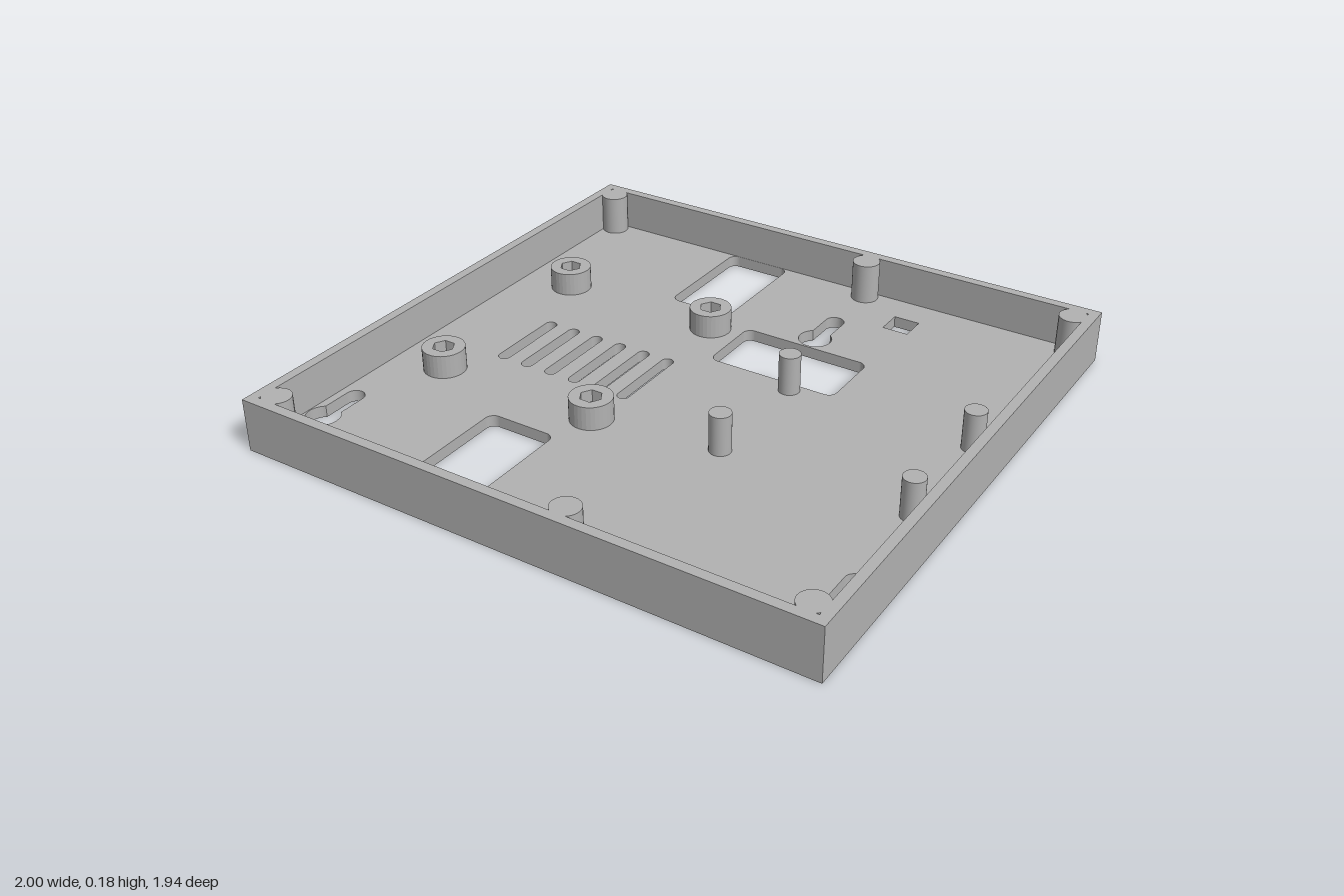
import * as THREE from 'three';

const W = 1, D = 0.97, H = 0.182, FLOOR = 0.04;

// Plan outlines are drawn as (x, z)
function rect(Type, x0, z0, x1, z1, r = 0) {
  const p = new Type();
  if (!r) {
    p.moveTo(x0, z0); p.lineTo(x1, z0); p.lineTo(x1, z1); p.lineTo(x0, z1); p.closePath();
    return p;
  }
  p.moveTo(x0 + r, z0);
  p.absarc(x1 - r, z0 + r, r, -Math.PI / 2, 0, false);
  p.absarc(x1 - r, z1 - r, r, 0, Math.PI / 2, false);
  p.absarc(x0 + r, z1 - r, r, Math.PI / 2, Math.PI, false);
  p.absarc(x0 + r, z0 + r, r, Math.PI, Math.PI * 1.5, false);
  return p;
}

function circle(Type, x, z, r) {
  const p = new Type();
  p.absarc(x, z, r, 0, Math.PI * 2, false);
  return p;
}

function hexagon(r) {
  const pts = [];
  for (let i = 0; i < 6; i++) pts.push(new THREE.Vector2(r * Math.cos(i * Math.PI / 3), r * Math.sin(i * Math.PI / 3)));
  return new THREE.Path(pts);
}

// Round entry with a narrower slot running toward the back
function keyhole(x, z, zEnd) {
  const R = 0.057, r = 0.033, a = Math.acos(r / R);
  const p = new THREE.Path();
  p.absarc(x, z, R, -a, Math.PI + a, false);
  p.absarc(x, zEnd + r, r, Math.PI, Math.PI * 2, false);
  p.closePath();
  return p;
}

// Extrude a plan outline upward between two heights
function slab(shape, y0, y1) {
  const g = new THREE.ExtrudeGeometry(shape, { depth: y1 - y0, bevelEnabled: false, curveSegments: 16 });
  g.rotateX(Math.PI / 2);
  g.translate(0, y1, 0);
  return g;
}

export function createModel() {
  const model = new THREE.Group();
  model.name = 'enclosureBase';
  const grey = new THREE.MeshStandardMaterial({ color: 0xb2b2b2 });
  grey.name = 'greyPlastic';
  const add = (name, geo, x = 0, y = 0, z = 0, parent = model) => {
    const m = new THREE.Mesh(geo, grey);
    m.name = name;
    m.position.set(x, y, z);
    parent.add(m);
    return m;
  };

  const standoffs = [];
  for (const x of [-0.777, -0.182]) for (const z of [-0.4, 0.305]) standoffs.push([x, z]);

  // Floor with all its cut-outs
  const floor = rect(THREE.Shape, -W, -D, W, D);
  floor.holes.push(
    rect(THREE.Path, -0.415, -0.935, -0.178, -0.513, 0.03),
    rect(THREE.Path, -0.07, -0.463, 0.393, -0.217, 0.03),
    rect(THREE.Path, -0.465, 0.452, -0.218, 0.928, 0.03),
    rect(THREE.Path, 0.32, -0.818, 0.412, -0.725),
    keyhole(0.16, -0.528, -0.703),
    keyhole(-0.905, 0.745, 0.568),
    keyhole(0.9, 0.745, 0.568),
  );
  for (let i = 0; i < 6; i++) {
    const x = -0.662 + i * 0.0967;
    floor.holes.push(rect(THREE.Path, x - 0.021, -0.142, x + 0.021, 0.156, 0.0205));
  }
  for (const [x, z] of standoffs) floor.holes.push(circle(THREE.Path, x, z, 0.021));
  add('floor', slab(floor, 0, FLOOR));

  // Perimeter wall
  const wall = rect(THREE.Shape, -W, -D, W, D);
  wall.holes.push(rect(THREE.Path, -0.966, -0.936, 0.966, 0.936));
  add('perimeterWall', slab(wall, FLOOR, H));

  // Posts merged into the wall, flush with the rim
  const postH = H - FLOOR;
  const postGeo = new THREE.CylinderGeometry(0.048, 0.048, postH, 32);
  for (const x of [-0.928, 0.16, 0.928]) {
    for (const z of [-0.897, 0.897]) add('wallPost', postGeo, x, FLOOR + postH / 2, z);
  }

  // Standoffs: round bore below, hexagonal nut pocket above
  const lower = circle(THREE.Shape, 0, 0, 0.072);
  lower.holes.push(circle(THREE.Path, 0, 0, 0.021));
  const upper = circle(THREE.Shape, 0, 0, 0.072);
  upper.holes.push(hexagon(0.038));
  const lowerGeo = slab(lower, FLOOR, 0.08), upperGeo = slab(upper, 0.08, 0.122);
  for (const [x, z] of standoffs) {
    const g = new THREE.Group();
    g.name = 'standoff';
    g.position.set(x, 0, z);
    add('standoffBase', lowerGeo, 0, 0, 0, g);
    add('nutPocket', upperGeo, 0, 0, 0, g);
    model.add(g);
  }

  // Slim support pins
  const pinH = 0.135;
  const pinGeo = new THREE.CylinderGeometry(0.036, 0.036, pinH, 32);
  for (const x of [0.254, 0.895]) {
    for (const z of [-0.18, 0.245]) add('supportPin', pinGeo, x, FLOOR + pinH / 2, z);
  }
  return model;
}
